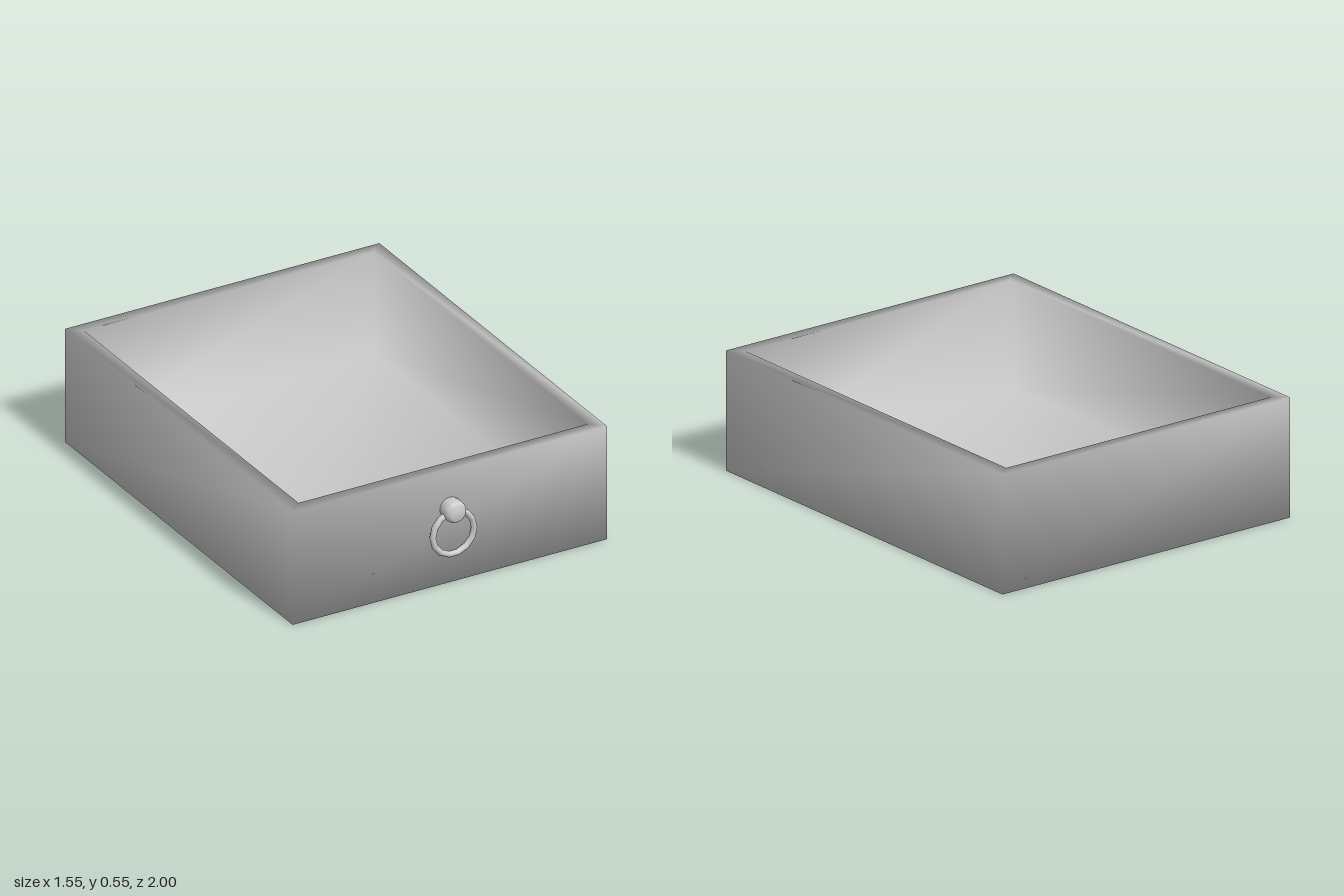
import * as THREE from 'three';

const material = new THREE.MeshStandardMaterial({ color: 0xcccccc });

function addPart(group, name, geometry, x = 0, y = 0, z = 0) {
  const mesh = new THREE.Mesh(geometry, material);
  mesh.name = name;
  mesh.position.set(x, y, z);
  group.add(mesh);
  return mesh;
}

// Open tray: rectangular loops bridged from the underside, over the rim, to the inner floor.
// Corners are shared, so the shading runs smoothly around them.
function trayGeometry() {
  const loops = [ // half width, back z, front z, y
    [0.775, -1, 0.928, 0],
    [0.775, -1, 0.928, 0.545],
    [0.713, -0.945, 0.87, 0.545],
    [0.713, -0.945, 0.87, 0.06],
  ];
  const positions = [];
  for (const [w, back, front, y] of loops) {
    positions.push(-w, y, front, w, y, front, w, y, back, -w, y, back);
  }

  const index = [0, 2, 1, 0, 3, 2]; // underside
  for (let l = 0; l < loops.length - 1; l++) {
    for (let i = 0; i < 4; i++) {
      const a = l * 4 + i;
      const b = l * 4 + (i + 1) % 4;
      index.push(a, b, b + 4, a, b + 4, a + 4);
    }
  }
  index.push(12, 13, 14, 12, 14, 15); // inner floor

  const geometry = new THREE.BufferGeometry();
  geometry.setAttribute('position', new THREE.Float32BufferAttribute(positions, 3));
  geometry.setIndex(index);
  geometry.computeVertexNormals();
  return geometry;
}

export function createModel() {
  const model = new THREE.Group();
  model.name = 'drawer';

  addPart(model, 'drawerTray', trayGeometry());

  const handle = new THREE.Group();
  handle.name = 'handle';
  model.add(handle);

  // Round knob with a softened front edge
  const profile = [
    [0.05, 0], [0.052, 0.02], [0.052, 0.045], [0.046, 0.06], [0.033, 0.069], [0, 0.072],
  ].map(([r, h]) => new THREE.Vector2(r, h));
  const knob = addPart(handle, 'knob', new THREE.LatheGeometry(profile, 16), 0, 0.36, 0.928);
  knob.rotation.x = Math.PI / 2;

  // Pull ring hanging from the knob
  addPart(handle, 'pullRing', new THREE.TorusGeometry(0.102, 0.0145, 8, 14), 0, 0.253, 0.958);

  return model;
}
